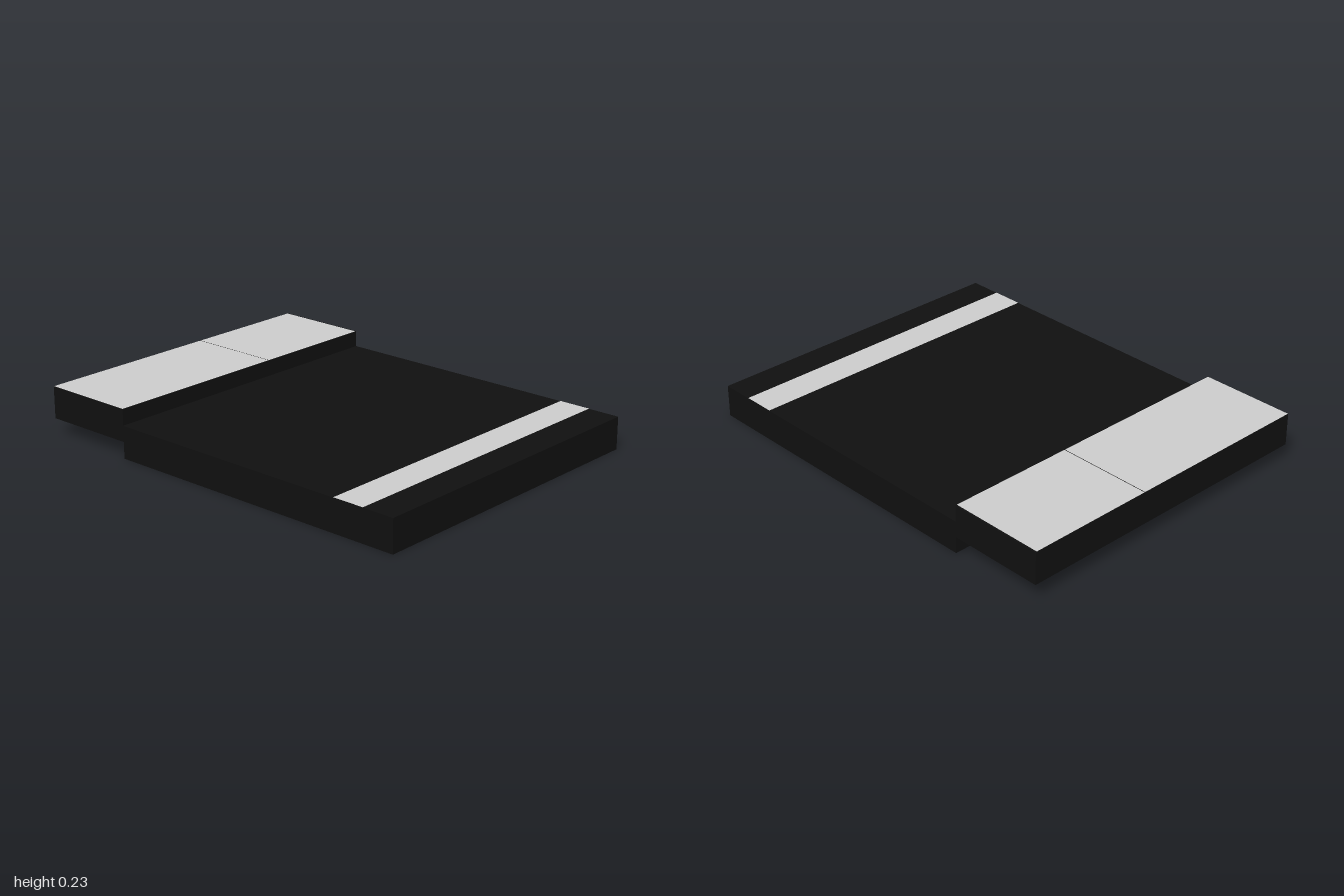
import * as THREE from 'three';

const black = new THREE.MeshStandardMaterial({ color: 0x101010 });
const grey = new THREE.MeshStandardMaterial({ color: 0xcccccc });

// Box given by its limits on each axis
function block(name, [x0, x1], [y0, y1], [z0, z1]) {
  const mesh = new THREE.Mesh(new THREE.BoxGeometry(x1 - x0, y1 - y0, z1 - z0), black);
  mesh.name = name;
  mesh.position.set((x0 + x1) / 2, (y0 + y1) / 2, (z0 + z1) / 2);
  return mesh;
}

// Thin grey inlay facing up, a hair above the surface it lies on
function inlay(name, [x0, x1], y, [z0, z1]) {
  const mesh = new THREE.Mesh(new THREE.PlaneGeometry(x1 - x0, z1 - z0).rotateX(-Math.PI / 2), grey);
  mesh.name = name;
  mesh.position.set((x0 + x1) / 2, y + 0.001, (z0 + z1) / 2);
  return mesh;
}

export function createModel() {
  const model = new THREE.Group();
  model.name = 'steppedSlab';
  const width = [-0.77, 0.77];
  const step = -0.54;

  // Main slab with a light band near its front edge
  model.add(block('mainSlab', width, [0, 0.154], [step, 1]));
  model.add(inlay('frontBand', width, 0.154, [0.69, 0.845]));

  // Raised rear block, overhanging the ground, topped by two plates with a fine seam
  model.add(block('rearBlock', width, [0.078, 0.231], [-1, step]));
  model.add(inlay('rearPlateRight', [-0.77, 0.146], 0.231, [-0.998, step]));
  model.add(inlay('rearPlateLeft', [0.149, 0.763], 0.231, [-0.998, step]));

  return model;
}
